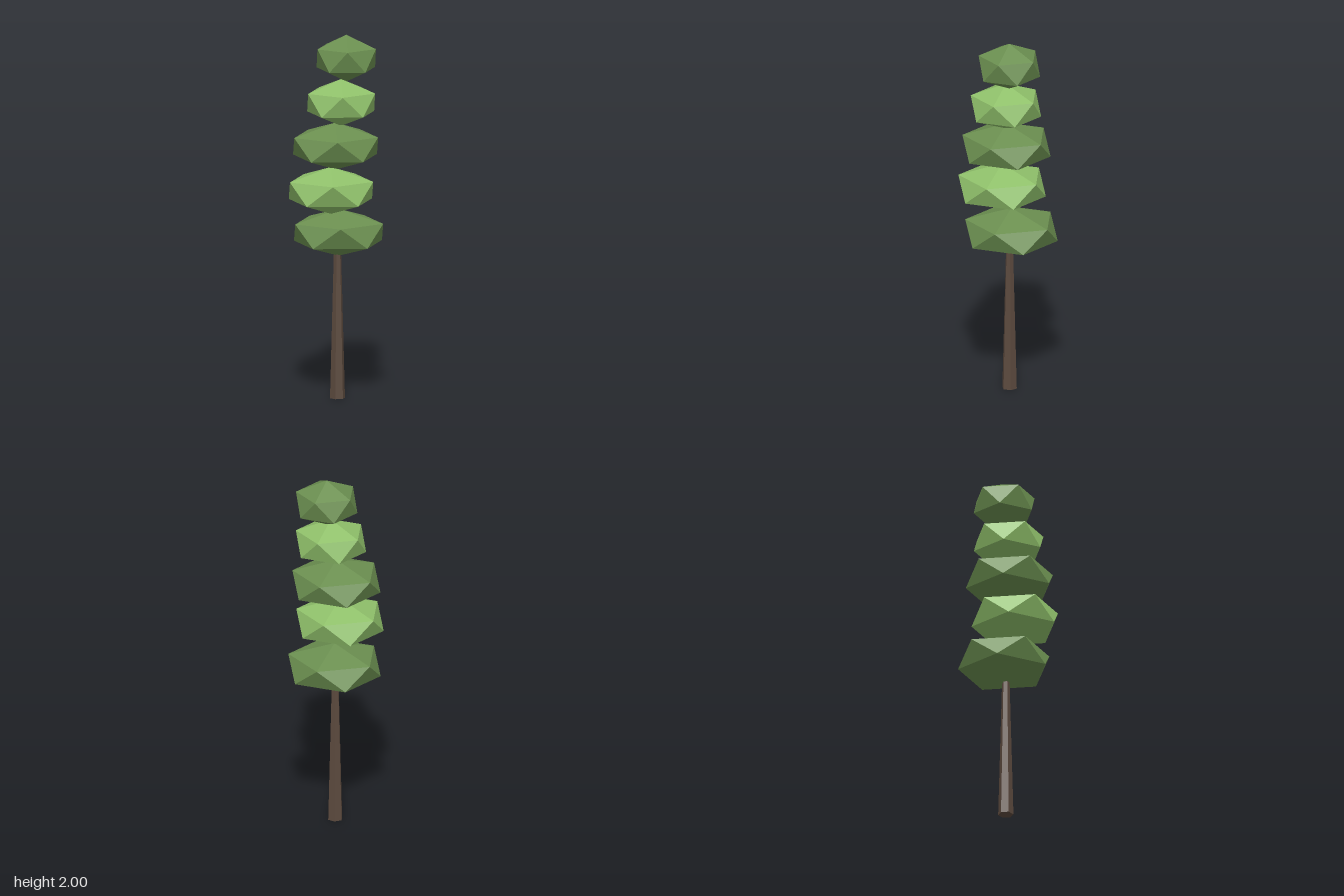
import * as THREE from 'three';

const material = (color) => new THREE.MeshStandardMaterial({ color, flatShading: true });

export function createModel() {
  const tree = new THREE.Group();
  tree.name = 'tree';
  const bark = material(0x5c4a3e);
  const darkLeaf = material(0x6b8f50);
  const lightLeaf = material(0x8fc06a);

  // Tapered six-sided trunk, ending inside the lowest leaf tier
  const trunkHeight = 0.86;
  const trunk = new THREE.Mesh(new THREE.CylinderGeometry(0.019, 0.042, trunkHeight, 6), bark);
  trunk.name = 'trunk';
  trunk.position.set(0, trunkHeight / 2, -0.015);
  tree.add(trunk);

  // Icosahedron stood on one corner, with an upper-ring corner towards +x
  const golden = (1 + Math.sqrt(5)) / 2;
  const leafGeometry = new THREE.IcosahedronGeometry(1, 0).rotateZ(-Math.atan(1 / golden));

  // Flattened leaf tiers from bottom to top: [x, z, radius]
  const tiers = [
    [0.003, -0.027, 0.281],
    [-0.022, 0.037, 0.266],
    [-0.005, 0.005, 0.268],
    [0.024, -0.003, 0.214],
    [0.045, -0.031, 0.187],
  ];
  tiers.forEach(([x, z, radius], i) => {
    const tier = new THREE.Mesh(leafGeometry, i % 2 ? lightLeaf : darkLeaf);
    tier.name = `leafTier${i + 1}`;
    tier.position.set(x, 0.911 + 0.24 * i, z);
    tier.scale.set(radius, 0.129, radius);
    tree.add(tier);
  });

  return tree;
}
